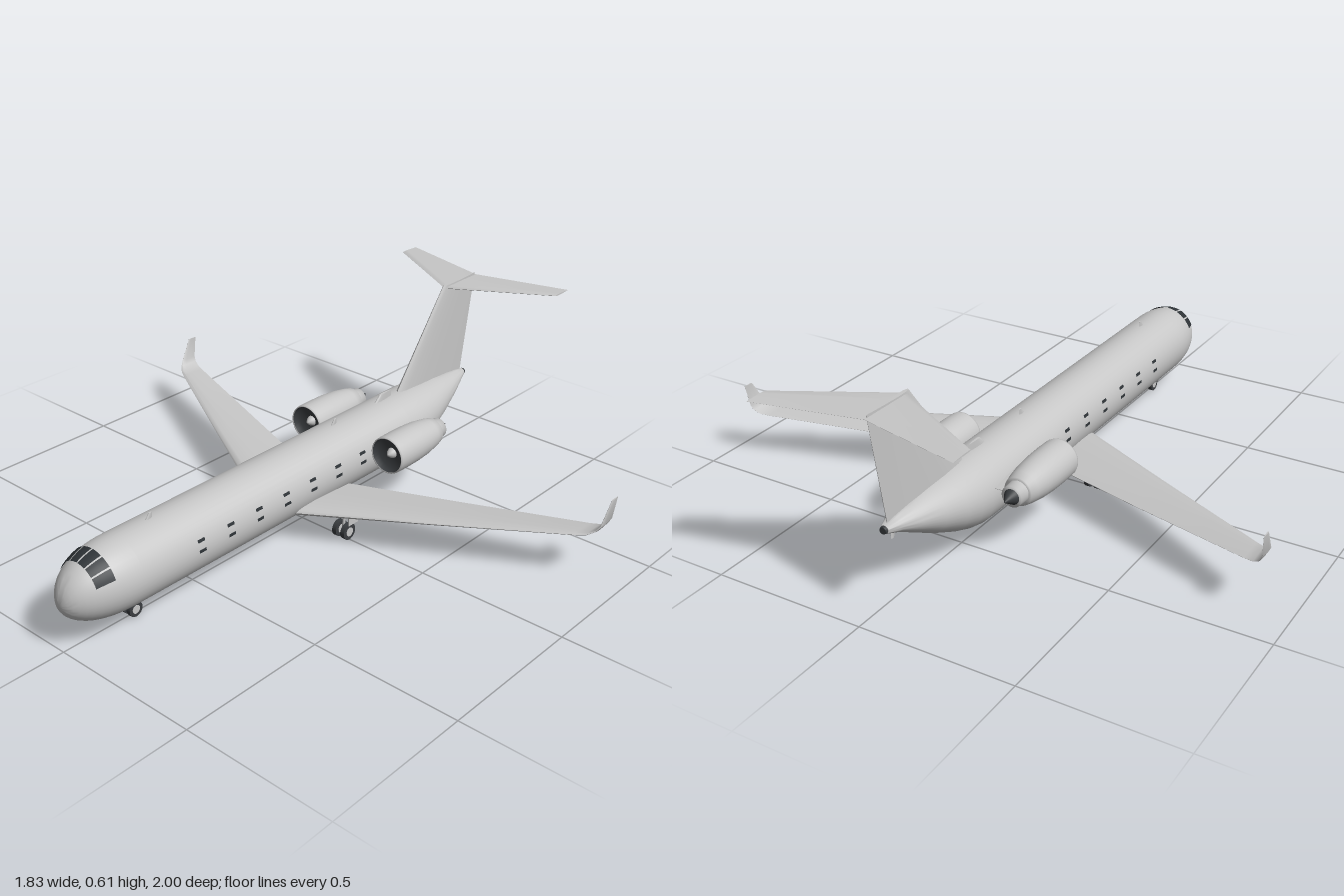
import * as THREE from 'three';
import { toCreasedNormals } from 'three/addons/utils/BufferGeometryUtils.js';

const bodyGrey = new THREE.MeshStandardMaterial({ color: 0xc6c6c6 });
const darkGlass = new THREE.MeshStandardMaterial({ color: 0x2e3337, side: THREE.DoubleSide });
const darkMetal = new THREE.MeshStandardMaterial({ color: 0x3a3d40 });
bodyGrey.name = 'bodyGrey'; darkGlass.name = 'darkGlass'; darkMetal.name = 'darkMetal';

// Skin between closed rings of points, with capped ends, always facing outward
function loft(rings, crease) {
  const n = rings[0].length, pos = rings.flat(), index = [];
  for (let i = 0; i < rings.length - 1; i++) for (let j = 0; j < n; j++) {
    const a = i * n + j, b = i * n + (j + 1) % n;
    index.push(a, b, a + n, b, b + n, a + n);
  }
  const last = (rings.length - 1) * n;
  for (let j = 1; j < n - 1; j++) index.push(0, j + 1, j, last, last + j, last + j + 1);
  let volume = 0;
  const cross = new THREE.Vector3();
  for (let k = 0; k < index.length; k += 3)
    volume += pos[index[k]].dot(cross.crossVectors(pos[index[k + 1]], pos[index[k + 2]]));
  if (volume < 0) index.reverse();
  const geo = new THREE.BufferGeometry().setFromPoints(pos);
  geo.setIndex(index);
  return toCreasedNormals(geo, crease);
}

// Aerofoil surface; each section is [x, y, leading z, trailing z, thickness, tilt in degrees]
const foil = [[0, 0], [0.02, 0.5], [0.1, 0.85], [0.3, 1], [0.6, 0.75], [1, 0.06]];
const outline = [...foil, ...foil.slice(1).reverse().map(([c, t]) => [c, -t])];
function surface(sections, side = 1) {
  return loft(sections.map(([x, y, z0, z1, thick, tilt = 0]) => {
    const a = THREE.MathUtils.degToRad(tilt);
    return outline.map(([c, t]) => new THREE.Vector3(
      side * (x - Math.sin(a) * t * thick / 2), y + Math.cos(a) * t * thick / 2, z0 + (z1 - z0) * c));
  }), 0.8);
}

// Fuselage profile behind the nose: z, top, bottom, half width
const stations = [
  [0.78, 0.286, 0.057, 0.111], [-0.44, 0.286, 0.057, 0.111], [-0.49, 0.286, 0.06, 0.111],
  [-0.54, 0.286, 0.072, 0.108], [-0.6, 0.284, 0.095, 0.1], [-0.68, 0.279, 0.132, 0.08],
  [-0.76, 0.27, 0.176, 0.056], [-0.82, 0.26, 0.208, 0.033], [-0.865, 0.25, 0.224, 0.014]];

function profileAt(z) {
  if (z > 0.78) {
    const s = Math.min(1, (z - 0.78) / 0.22);
    const h = Math.sqrt(1 - s ** 2.5), w = Math.sqrt(1 - s * s);
    return [0.155 + 0.131 * h, 0.155 - 0.098 * h, 0.111 * w];
  }
  const k = Math.max(1, stations.findIndex(st => st[0] <= z));
  const a = stations[k - 1], b = stations[k], t = (z - a[0]) / (b[0] - a[0]);
  return [1, 2, 3].map(i => a[i] + (b[i] - a[i]) * t);
}

// Point on the fuselage; the angle runs from the top towards +x
function skin(z, angle, lift = 0) {
  const [top, bottom, half] = profileAt(z);
  return new THREE.Vector3(Math.sin(angle) * (half + lift),
    (top + bottom) / 2 + Math.cos(angle) * ((top - bottom) / 2 + lift), z);
}

// Thin pane lying on the fuselage skin, angles in degrees
function pane(z0, z1, a0, a1) {
  const geo = new THREE.PlaneGeometry(1, 1, 4, 4), p = geo.attributes.position;
  for (let i = 0; i < p.count; i++) {
    const angle = THREE.MathUtils.degToRad(a1 + (a0 - a1) * (p.getX(i) + 0.5));
    const v = skin(z0 + (z1 - z0) * (p.getY(i) + 0.5), angle, 0.003);
    p.setXYZ(i, v.x, v.y, v.z);
  }
  geo.computeVertexNormals();
  return geo;
}

// Lathe along z; profile points are [radius, z], rear to front
function turned(points) {
  return new THREE.LatheGeometry(points.map(([r, z]) => new THREE.Vector2(r, z)), 32).rotateX(Math.PI / 2);
}

export function createModel() {
  const model = new THREE.Group();
  model.name = 'airliner';
  const add = (name, geo, mat, x = 0, y = 0, z = 0, parent = model) => {
    const mesh = new THREE.Mesh(geo, mat);
    mesh.name = name;
    mesh.position.set(x, y, z);
    parent.add(mesh);
    return mesh;
  };

  // Fuselage with rounded nose
  const zs = stations.map(st => st[0]);
  for (let i = 1; i <= 12; i++) zs.unshift(0.78 + 0.22 * Math.sin(Math.min(i / 12 * Math.PI / 2, 1.568)));
  add('fuselage', loft(zs.map(z => Array.from({ length: 40 }, (_, j) => skin(z, j / 40 * Math.PI * 2))), 0.9), bodyGrey);
  add('tailExhaust', new THREE.CylinderGeometry(0.011, 0.013, 0.01, 16).rotateX(-Math.PI / 2), darkMetal, 0, 0.237, -0.868);

  // Cockpit panes
  for (let i = 0; i < 6; i++) {
    const a = -66 + i * 22;
    add('cockpitWindow', pane(0.87, 0.927, a + 1.5, a + 20.5), darkGlass);
  }

  // Paired cabin window strips
  for (const side of [1, -1]) for (let i = 0; i < 7; i++) for (const a of [71, 87]) {
    const z = 0.556 - i * 0.122, c = side * a;
    add('cabinWindow', pane(z - 0.014, z + 0.014, c - 2.5, c + 2.5), darkGlass);
  }

  // Tail fin and tailplane
  add('tailFin', surface([[0, 0.24, -0.455, -0.85, 0.036, 90], [0, 0.606, -0.728, -0.912, 0.014, 90]]), bodyGrey);
  add('tailplane', surface([[-0.33, 0.599, -0.922, -0.999, 0.005], [0, 0.596, -0.735, -0.92, 0.01],
    [0.33, 0.599, -0.922, -0.999, 0.005]]), bodyGrey);

  // Blade aerials and the air scoop
  const blade = (name, y0, y1, f0, r0, f1, r1, thick) =>
    add(name, surface([[0, y0, f0, r0, thick, 90], [0, y1, f1, r1, thick * 0.7, 90]]), bodyGrey);
  blade('topAerial', 0.28, 0.304, 0.676, 0.646, 0.658, 0.646, 0.008);
  blade('topAerial', 0.28, 0.304, -0.138, -0.168, -0.156, -0.168, 0.008);
  blade('bellyAerial', 0.06, 0.036, 0.256, 0.224, 0.238, 0.224, 0.008);
  blade('tailDrain', 0.225, 0.193, -0.815, -0.84, -0.826, -0.838, 0.006);
  blade('airScoop', 0.28, 0.309, -0.362, -0.455, -0.392, -0.452, 0.012);

  // Two wheels on an axle
  const wheels = (name, x, z, r, gap, width) => {
    const gear = new THREE.Group();
    gear.name = name;
    gear.position.set(x, r, z);
    model.add(gear);
    for (const s of [1, -1]) {
      add('tyre', new THREE.CylinderGeometry(r, r, width, 24).rotateZ(Math.PI / 2), darkMetal, s * gap, 0, 0, gear);
      add('hub', new THREE.CylinderGeometry(r * 0.55, r * 0.55, width + 0.003, 20).rotateZ(Math.PI / 2), bodyGrey, s * gap, 0, 0, gear);
    }
    add('axle', new THREE.CylinderGeometry(0.004, 0.004, gap * 2, 10).rotateZ(Math.PI / 2), bodyGrey, 0, 0, 0, gear);
    return gear;
  };
  const nose = wheels('noseGear', 0, 0.745, 0.025, 0.014, 0.014);
  add('noseStrut', new THREE.CylinderGeometry(0.005, 0.005, 0.05, 10), bodyGrey, 0, 0.025, 0, nose);

  for (const side of [1, -1]) {
    // Swept wing curving up into a winglet
    add('wing', surface([
      [0.04, 0.109, 0.163, -0.107, 0.032], [0.11, 0.112, 0.125, -0.13, 0.03],
      [0.45, 0.129, -0.061, -0.243, 0.018], [0.85, 0.153, -0.28, -0.373, 0.008],
      [0.88, 0.157, -0.297, -0.383, 0.007, 20], [0.9, 0.168, -0.315, -0.389, 0.006, 50],
      [0.909, 0.185, -0.33, -0.393, 0.006, 78], [0.914, 0.258, -0.372, -0.406, 0.004, 88]], side), bodyGrey);

    // Rear engine on its pylon
    const engine = new THREE.Group();
    engine.name = 'engine';
    engine.position.set(side * 0.176, 0.207, 0);
    model.add(engine);
    add('nacelle', turned([[0.03, -0.46], [0.046, -0.46], [0.053, -0.43], [0.06, -0.385], [0.064, -0.33],
      [0.065, -0.27], [0.064, -0.222], [0.062, -0.215], [0.059, -0.217]]), bodyGrey, 0, 0, 0, engine);
    add('inletLining', turned([[0.059, -0.217], [0.056, -0.245], [0, -0.245]]), darkMetal, 0, 0, 0, engine);
    add('fanSpinner', turned([[0.018, -0.245], [0.014, -0.235], [0.007, -0.226], [0, -0.222]]), bodyGrey, 0, 0, 0, engine);
    add('exhaustPipe', turned([[0, -0.495], [0.034, -0.495], [0.037, -0.455]]), bodyGrey, 0, 0, 0, engine);
    add('exhaustCone', turned([[0, -0.535], [0.026, -0.494]]), darkMetal, 0, 0, 0, engine);
    add('pylon', surface([[0.085, 0.204, -0.27, -0.475, 0.026], [0.14, 0.206, -0.27, -0.475, 0.026]], side), bodyGrey);

    // Main landing gear with its door
    const main = wheels('mainGear', side * 0.18, 0, 0.028, 0.017, 0.016);
    add('mainStrut', new THREE.CylinderGeometry(0.005, 0.005, 0.085, 10), bodyGrey, 0, 0.042, 0, main);
    add('gearDoor', new THREE.BoxGeometry(0.004, 0.035, 0.045), bodyGrey, side * 0.038, 0.053, 0, main);
  }
  return model;
}
